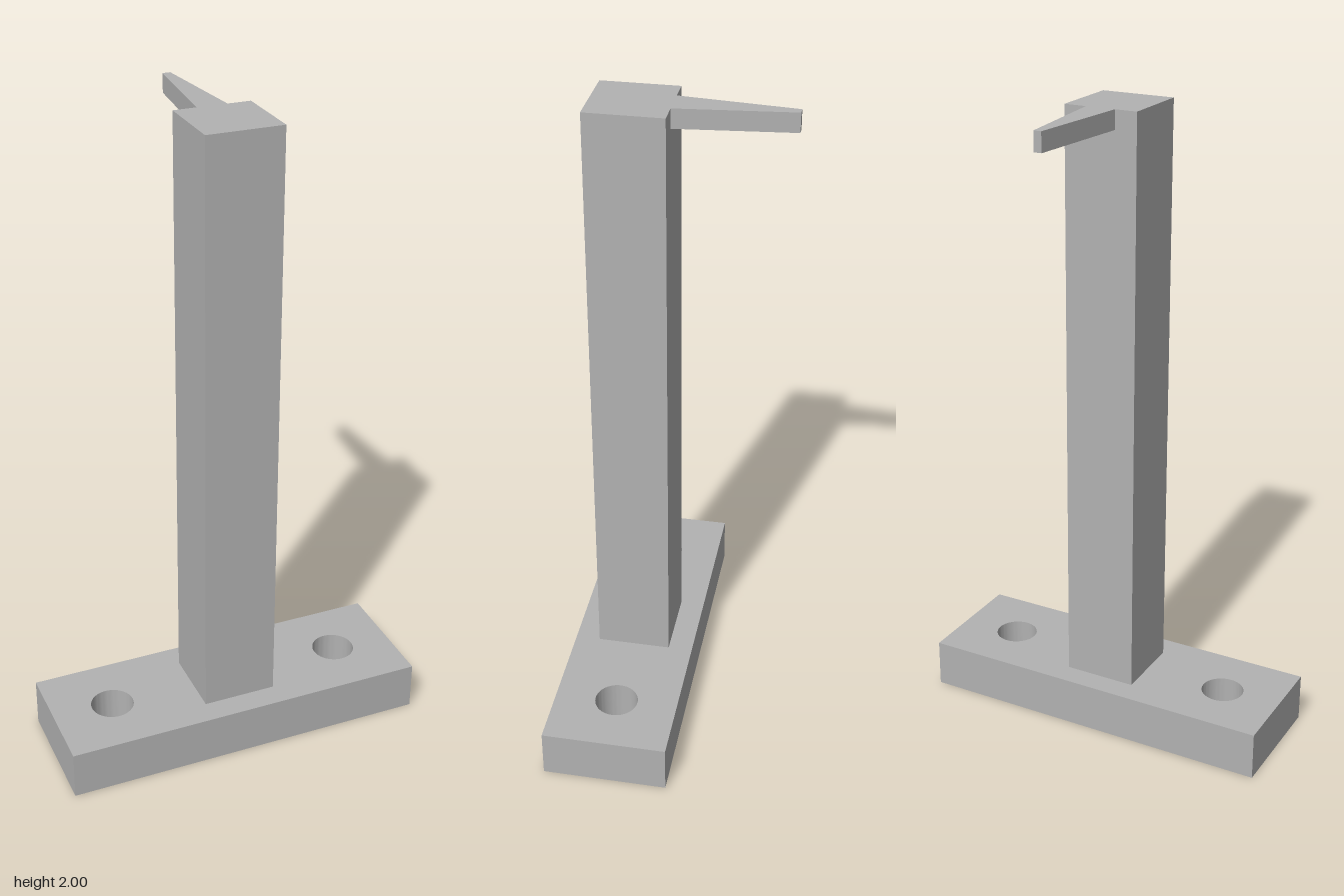
import * as THREE from 'three';
import { toCreasedNormals } from 'three/addons/utils/BufferGeometryUtils.js';

const HALF_WIDTH = 0.577, BACK = -0.058, FRONT = 0.327;
const BASE_HEIGHT = 0.154, HEIGHT = 2;

// Plan outline given as [x, z] points, raised from yBottom to yTop
function slab(name, points, yBottom, yTop, material, holes = []) {
  const shape = new THREE.Shape(points.map(([x, z]) => new THREE.Vector2(x, -z)));
  for (const [x, z, r] of holes) {
    shape.holes.push(new THREE.Path().absarc(x, -z, r, 0, Math.PI * 2, true));
  }
  const geometry = new THREE.ExtrudeGeometry(shape, {
    depth: yTop - yBottom, bevelEnabled: false, curveSegments: 32,
  });
  geometry.rotateX(-Math.PI / 2).translate(0, yBottom, 0);
  const mesh = new THREE.Mesh(toCreasedNormals(geometry, 0.5), material);
  mesh.name = name;
  return mesh;
}

export function createModel() {
  const grey = new THREE.MeshStandardMaterial({ color: 0xb2b2b2 });
  grey.name = 'grey';
  const group = new THREE.Group();
  group.name = 'pointerStand';

  // Base plate with two screw holes
  group.add(slab('basePlate',
    [[-HALF_WIDTH, FRONT], [HALF_WIDTH, FRONT], [HALF_WIDTH, BACK], [-HALF_WIDTH, BACK]],
    0, BASE_HEIGHT, grey, [-1, 1].map((side) => [side * 0.385, 0.134, 0.067])));

  // Square upright
  const post = new THREE.Mesh(
    new THREE.BoxGeometry(0.231, HEIGHT - BASE_HEIGHT, 0.231), grey);
  post.position.set(0, (HEIGHT + BASE_HEIGHT) / 2, 0.134);
  post.name = 'post';
  group.add(post);

  // Tapered pointer reaching back from the top of the post
  group.add(slab('pointer',
    [[-0.046, 0.019], [0.046, 0.019], [0.012, -0.327], [-0.012, -0.327]],
    1.942, HEIGHT, grey));

  return group;
}
